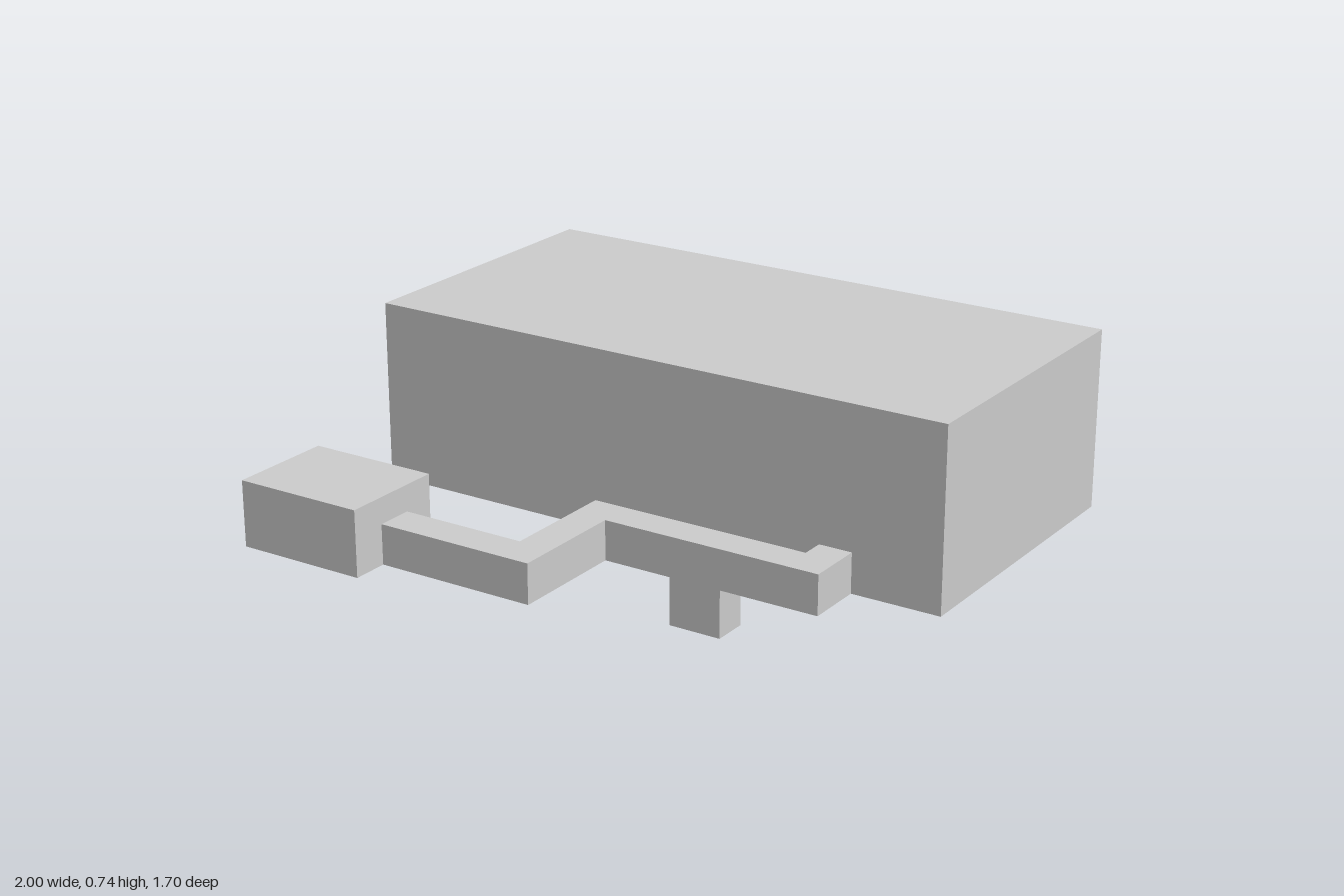
import * as THREE from 'three';

const material = new THREE.MeshStandardMaterial({ color: 0xcccccc, flatShading: true });
const thinMaterial = new THREE.MeshStandardMaterial({ color: 0xcccccc, flatShading: true, side: THREE.DoubleSide });

const BASE = 0.155; // underside of everything except the foot
const BACK = -0.85, FRONT = 0.15; // depth of the main body
const POCKET_X = -0.61, POCKET_Y = 0.41; // open recess under the body

function extrude(points, depth) {
  const shape = new THREE.Shape(points.map(([x, y]) => new THREE.Vector2(x, y)));
  return new THREE.ExtrudeGeometry(shape, { depth, bevelEnabled: false });
}

export function createModel() {
  const group = new THREE.Group();
  const add = (name, geometry, mat = material) => {
    const mesh = new THREE.Mesh(geometry, mat);
    mesh.name = name;
    group.add(mesh);
    return mesh;
  };
  const addBox = (name, [x0, x1], [y0, y1], [z0, z1]) =>
    add(name, new THREE.BoxGeometry(x1 - x0, y1 - y0, z1 - z0))
      .position.set((x0 + x1) / 2, (y0 + y1) / 2, (z0 + z1) / 2);

  // Main body: a long block with a step cut out of its lower right corner
  add('mainBody', extrude([
    [POCKET_X, BASE], [1, BASE], [1, 0.74], [-1, 0.74], [-1, POCKET_Y], [POCKET_X, POCKET_Y],
  ], FRONT - BACK)).position.z = BACK;

  // Thin walls that close the sides of the step, leaving a pocket open below
  const wallHeight = POCKET_Y - BASE, wallY = (POCKET_Y + BASE) / 2;
  for (const [name, z] of [['pocketFrontWall', FRONT], ['pocketBackWall', BACK]]) {
    add(name, new THREE.PlaneGeometry(POCKET_X + 1, wallHeight), thinMaterial)
      .position.set((POCKET_X - 1) / 2, wallY, z);
  }
  const sideWall = add('pocketSideWall', new THREE.PlaneGeometry(FRONT - BACK, wallHeight), thinMaterial);
  sideWall.position.set(-1, wallY, (FRONT + BACK) / 2);
  sideWall.rotation.y = -Math.PI / 2;

  // Zigzag passage from the body to the small block, drawn in plan as (x, -z)
  const passage = add('passage', extrude([
    [0.705, -FRONT], [0.595, -FRONT], [0.595, -0.225], [-0.145, -0.225], [-0.145, -0.61], [-0.565, -0.61],
    [-0.565, -0.73], [-0.03, -0.73], [-0.03, -0.34], [0.705, -0.34],
  ], 0.13));
  passage.rotation.x = -Math.PI / 2;
  passage.position.y = BASE;

  addBox('smallBlock', [-1, -0.565], [BASE, 0.37], [0.5, 0.85]);
  addBox('foot', [0.2, 0.375], [0, BASE], [0.225, 0.34]);

  return group;
}
